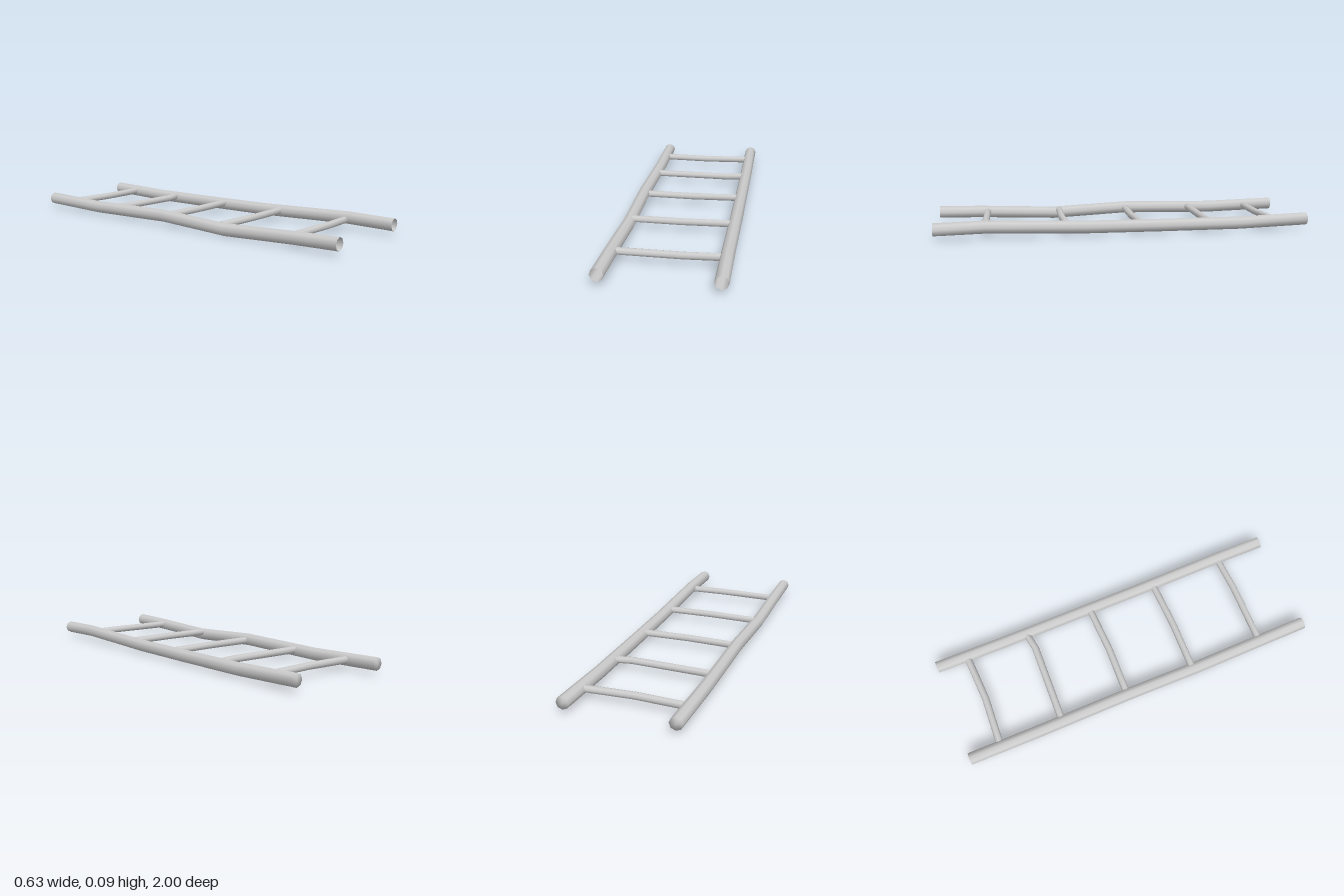
import * as THREE from 'three';
import { mergeVertices } from 'three/addons/utils/BufferGeometryUtils.js';

const SIDES = 8;
const RAIL_RADIUS = 0.034;
const RUNG_RADIUS = 0.0195;

const material = new THREE.MeshStandardMaterial({ color: 0xcccccc, side: THREE.DoubleSide });

// Smooth eight-sided pole along +y, one ring per station, with optional end caps
function poleGeometry(radius, stations, capStart, capEnd) {
  const profile = stations.map((s) => new THREE.Vector2(radius, s));
  if (capStart) profile.unshift(new THREE.Vector2(0, stations[0]));
  if (capEnd) profile.push(new THREE.Vector2(0, stations[stations.length - 1]));
  return new THREE.LatheGeometry(profile, SIDES);
}

// Shift each ring sideways: bends is a list of [station, offset]
function bend(geometry, along, across, bends) {
  const position = geometry.attributes.position;
  for (let i = 0; i < position.count; i++) {
    const s = position.getComponent(i, along);
    const [, offset] = bends.find(([station]) => Math.abs(station - s) < 1e-4);
    position.setComponent(i, across, position.getComponent(i, across) + offset);
  }
  // Weld the seam so the shading stays smooth all round
  geometry.deleteAttribute('normal');
  geometry.deleteAttribute('uv');
  const welded = mergeVertices(geometry, 1e-4);
  welded.computeVertexNormals();
  return welded;
}

// Side rail along z, closed at the back and open at the front
function makeRail(name, x, heights) {
  const geometry = poleGeometry(RAIL_RADIUS, heights.map(([z]) => z), true, false);
  geometry.rotateX(Math.PI / 2);
  const rail = new THREE.Mesh(bend(geometry, 2, 1, heights), material);
  rail.name = name;
  rail.position.x = x;
  return rail;
}

// Rung along x, slightly bowed toward the front
function makeRung(index, bows) {
  const geometry = poleGeometry(RUNG_RADIUS, bows.map(([x]) => x), true, true);
  geometry.rotateZ(-Math.PI / 2);
  const rung = new THREE.Mesh(bend(geometry, 0, 2, bows), material);
  rung.name = `rung${index + 1}`;
  rung.position.y = 0.052;
  return rung;
}

export function createModel() {
  const ladder = new THREE.Group();
  ladder.name = 'ladder';

  // Rails: [z, centre height]
  ladder.add(makeRail('leftRail', 0.28, [
    [-1, 0.055], [-0.62, 0.043], [-0.2, 0.043], [0.2, 0.045], [0.74, 0.061], [1, 0.055],
  ]));
  ladder.add(makeRail('rightRail', -0.28, [
    [-1, 0.055], [-0.6, 0.045], [-0.08, 0.055], [0.34, 0.034], [0.75, 0.05], [1, 0.055],
  ]));

  // Rungs from back to front: [x, z]
  const rungs = [
    [[-0.255, -0.825], [0, -0.812], [0.255, -0.825]],
    [[-0.265, -0.47], [0.17, -0.455], [0.262, -0.47]],
    [[-0.262, -0.085], [0, -0.075], [0.255, -0.083]],
    [[-0.265, 0.31], [0, 0.319], [0.255, 0.313]],
    [[-0.255, 0.727], [0.07, 0.737], [0.255, 0.73]],
  ];
  rungs.forEach((bows, i) => ladder.add(makeRung(i, bows)));

  return ladder;
}
